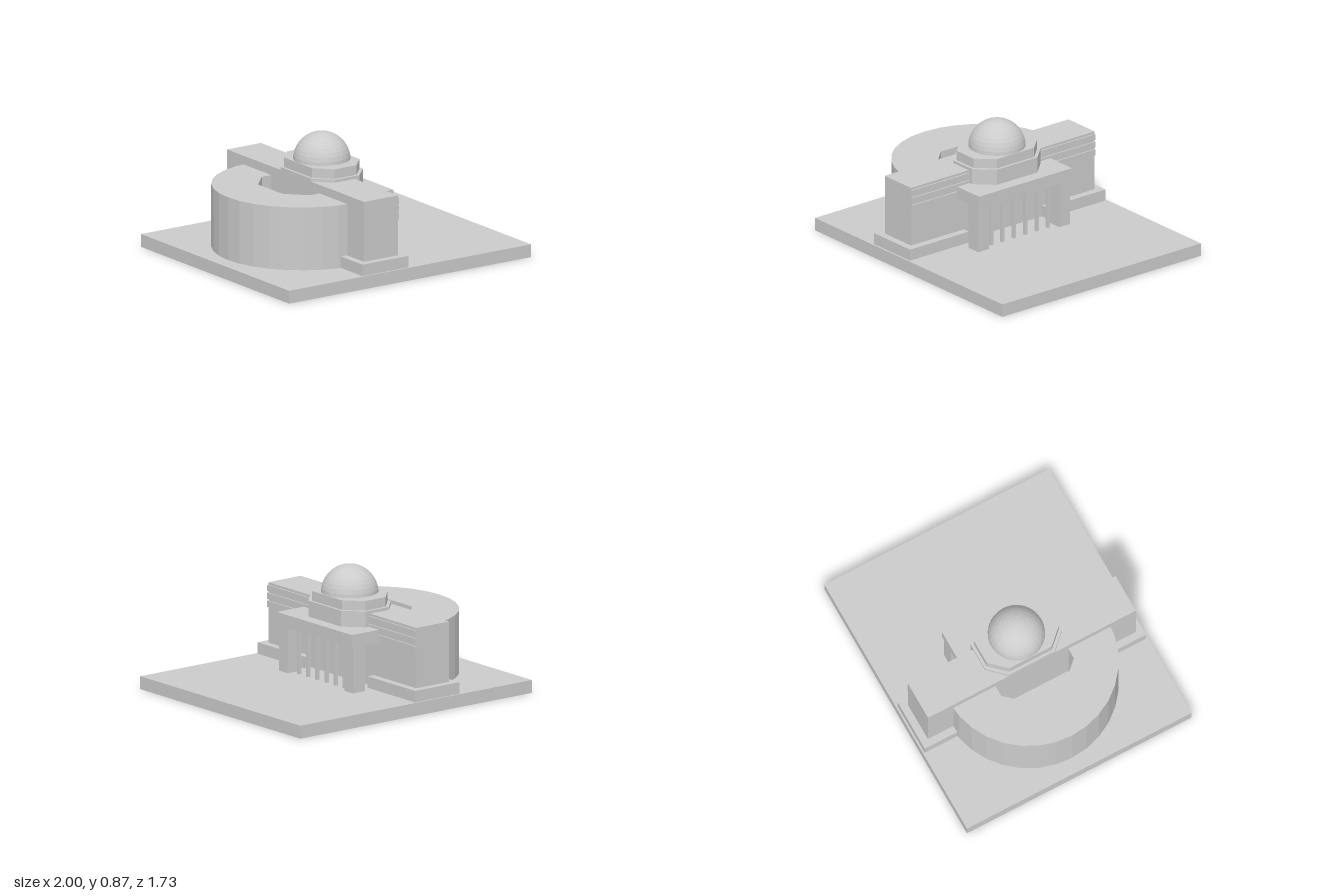
import * as THREE from 'three';

const material = new THREE.MeshStandardMaterial({ color: 0xcccccc, flatShading: true });

export function createModel() {
  const model = new THREE.Group();
  model.name = 'domedHall';

  const add = (name, geometry) => {
    const mesh = new THREE.Mesh(geometry, material);
    mesh.name = name;
    model.add(mesh);
    return mesh;
  };

  // Box given by its limits on each axis
  const box = (name, x0, x1, y0, y1, z0, z1) =>
    add(name, new THREE.BoxGeometry(x1 - x0, y1 - y0, z1 - z0))
      .position.set((x0 + x1) / 2, (y0 + y1) / 2, (z0 + z1) / 2);

  // Plan outline of [x, z] points raised from y0 to y1
  const prism = (name, points, y0, y1) => {
    const shape = new THREE.Shape(points.map(([x, z]) => new THREE.Vector2(x, z)));
    const geometry = new THREE.ExtrudeGeometry(shape, { depth: y1 - y0, bevelEnabled: false });
    geometry.rotateX(-Math.PI / 2);
    add(name, geometry).position.y = y0;
  };

  // Ground slab and the long cross wing
  box('groundSlab', -1, 1, 0, 0.09, -0.865, 0.865);
  box('mainWing', -0.335, -0.055, 0.09, 0.59, -0.8, 0.8);

  // Plinths under both wing ends, open at the entrance
  box('leftPlinth', -0.385, -0.002, 0.09, 0.17, -0.852, -0.34);
  box('rightPlinth', -0.385, -0.002, 0.09, 0.17, 0.34, 0.852);

  // Horizontal bands along the upper facade
  for (const y of [0.42, 0.475, 0.53]) {
    box('facadeBand', -0.06, -0.045, y, y + 0.043, -0.8, 0.8);
  }

  // Half-round rear hall around a faceted courtyard
  const plan = [];
  for (let i = 0; i <= 16; i++) {
    const a = Math.PI / 2 + (i * Math.PI) / 16;
    plan.push([-0.285 + 0.61 * Math.cos(a), 0.61 * Math.sin(a)]);
  }
  plan.push([-0.285, -0.28], [-0.415, -0.28], [-0.545, -0.14],
    [-0.545, 0.14], [-0.415, 0.28], [-0.285, 0.28]);
  prism('rearHall', plan, 0.09, 0.53);

  // Portico roof, corner piers and slim posts
  box('porticoRoof', -0.06, 0.187, 0.41, 0.5, -0.405, 0.405);
  for (const s of [-1, 1]) {
    const z = s * 0.354;
    box('porticoPier', 0.07, 0.172, 0.09, 0.41, z - 0.046, z + 0.046);
    for (const p of [0.05, 0.15, 0.247]) {
      box('porticoPost', 0.11, 0.132, 0.09, 0.41, s * p - 0.011, s * p + 0.011);
    }
  }

  // Two stretched octagonal tiers below the dome
  const cx = -0.118;
  const octagon = (hx, hz, ex, ez) => [
    [cx + hx, -ez], [cx + hx, ez], [cx + ex, hz], [cx - ex, hz],
    [cx - hx, ez], [cx - hx, -ez], [cx - ex, -hz], [cx + ex, -hz],
  ];
  prism('lowerTier', octagon(0.216, 0.298, 0.1, 0.177), 0.5, 0.61);
  prism('upperTier', octagon(0.197, 0.277, 0.09, 0.163), 0.61, 0.677);

  // Dome
  const dome = new THREE.SphereGeometry(0.195, 32, 10, 0, Math.PI * 2, 0, Math.PI / 2);
  add('dome', dome).position.set(cx, 0.67, 0);

  return model;
}
